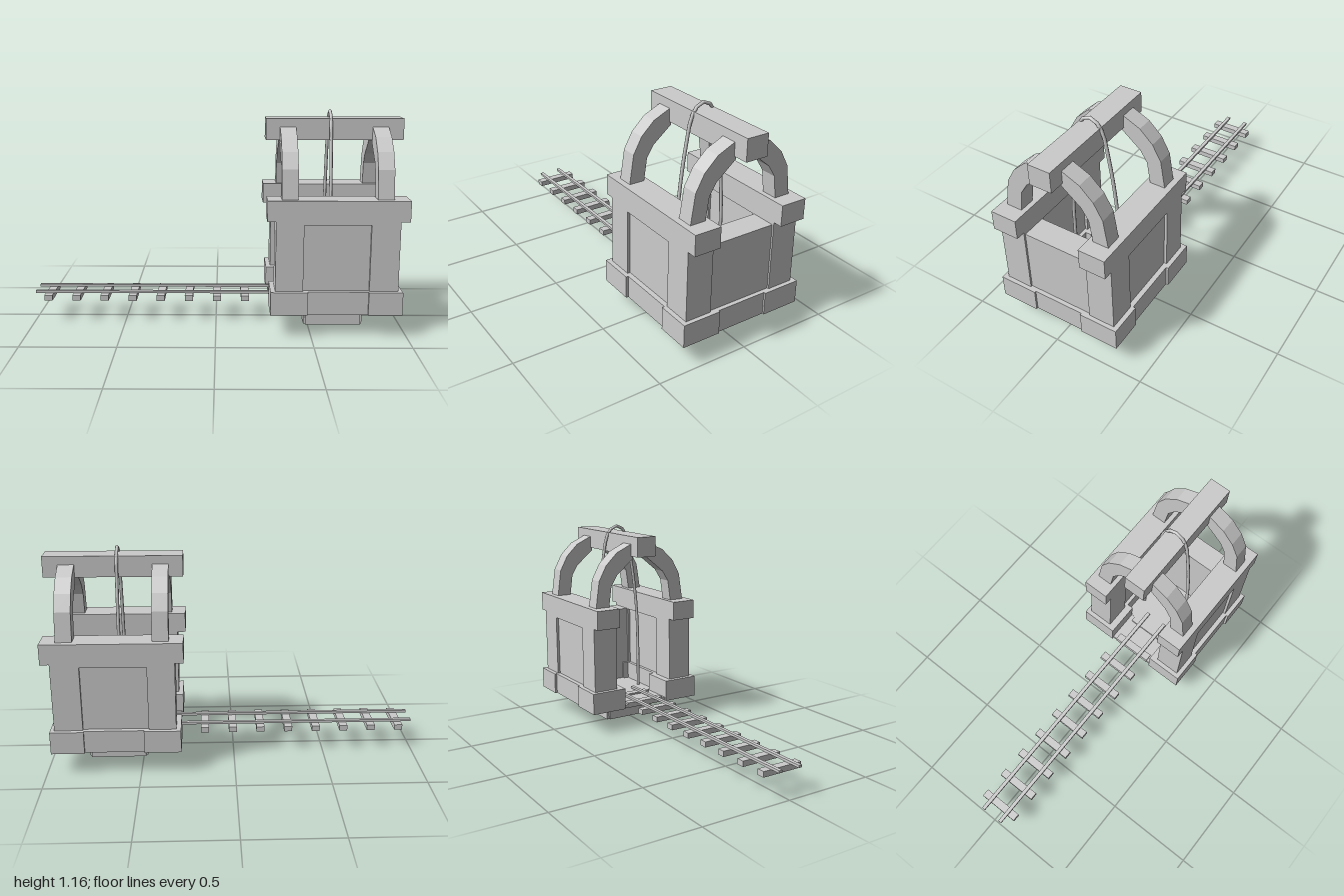
import * as THREE from 'three';

export function createModel() {
  const model = new THREE.Group();
  const material = new THREE.MeshStandardMaterial({ color: 0xcccccc, flatShading: true });
  const smooth = new THREE.MeshStandardMaterial({ color: 0xcccccc });

  // Box given by its limits on each axis
  function box(name, [x0, x1], [y0, y1], [z0, z1], parent = model) {
    const mesh = new THREE.Mesh(new THREE.BoxGeometry(x1 - x0, y1 - y0, z1 - z0), material);
    mesh.position.set((x0 + x1) / 2, (y0 + y1) / 2, (z0 + z1) / 2);
    mesh.name = name;
    parent.add(mesh);
    return mesh;
  }

  // Half arch in (z, y), from the side wall up to the ridge beam
  const archShape = new THREE.Shape([
    [0.292, 0.71], [0.268, 0.875], [0.222, 0.96], [0.152, 1.028], [0.05, 1.075],
    [0.05, 0.985], [0.153, 0.9], [0.19, 0.84], [0.208, 0.71],
  ].map(([z, y]) => new THREE.Vector2(z, y)));
  const archGeometry = new THREE.ExtrudeGeometry(archShape, { depth: 0.085, bevelEnabled: false });

  // Front and back halves are mirrored
  for (const s of [1, -1]) {
    const side = new THREE.Group();
    side.name = s > 0 ? 'frontSide' : 'backSide';
    model.add(side);
    const span = (a, b) => (s > 0 ? [a, b] : [-b, -a]);

    // Base: two corner blocks with a recessed piece between
    box('baseCorner', [0.285, 0.48], [0.12, 0.243], span(0.14, 0.348), side);
    box('baseCorner', [0.795, 0.972], [0.12, 0.243], span(0.14, 0.348), side);
    box('baseMiddle', [0.48, 0.795], [0.12, 0.243], span(0.175, 0.335), side);

    // Wall: pillars, recessed panel and header beam
    box('pillar', [0.31, 0.455], [0.243, 0.615], span(0.18, 0.323), side);
    box('pillar', [0.8, 0.95], [0.243, 0.615], span(0.18, 0.323), side);
    box('wallPanel', [0.455, 0.8], [0.243, 0.595], span(0.195, 0.308), side);
    box('panelHeader', [0.455, 0.8], [0.595, 0.615], span(0.18, 0.323), side);
    box('wallBeam', [0.265, 0.998], [0.613, 0.722], span(0.18, 0.323), side);

    // Arches standing on the wall beam
    for (const x of [0.34, 0.832]) {
      const arch = new THREE.Mesh(archGeometry, material);
      arch.name = 'arch';
      arch.rotation.y = s > 0 ? -Math.PI / 2 : Math.PI / 2;
      arch.position.x = s > 0 ? x + 0.085 : x;
      side.add(arch);
    }

    // Rail running into the housing
    box('rail', [-1, 0.545], [0.15, 0.163], span(0.05, 0.07));
  }

  // Closed end, floor and ridge beam
  box('endWall', [0.81, 0.94], [0.12, 0.597], [-0.18, 0.18]);
  box('baseEnd', [0.9, 0.962], [0.12, 0.243], [-0.14, 0.14]);
  box('floor', [0.295, 0.9], [0.12, 0.14], [-0.18, 0.18]);
  box('ridgeBeam', [0.265, 0.998], [1.002, 1.115], [-0.06, 0.06]);

  // Lift car with notched corners, reaching down to the ground
  box('liftCar', [0.488, 0.787], [0, 0.143], [-0.155, 0.155]);
  box('liftCarSides', [0.478, 0.797], [0, 0.143], [-0.139, 0.139]);

  // Rope looped over the ridge beam
  const half = [[0.14, 0.14], [0.14, 0.4], [0.135, 0.6], [0.117, 0.8], [0.092, 0.97], [0.07, 1.08], [0.04, 1.132]];
  const loop = [...half, [0, 1.15], ...half.slice().reverse().map(([z, y]) => [-z, y])];
  const path = new THREE.CatmullRomCurve3(loop.map(([z, y]) => new THREE.Vector3(0.61, y, z)));
  const rope = new THREE.Mesh(new THREE.TubeGeometry(path, 48, 0.009, 8), smooth);
  rope.name = 'rope';
  model.add(rope);

  // Sleepers under the rails
  for (let i = 0; i < 10; i++) {
    const x = -0.922 + i * 0.1545;
    box('sleeper', [x - 0.022, x + 0.022], [0.12, 0.15], [-0.115, 0.115]);
  }
  return model;
}
